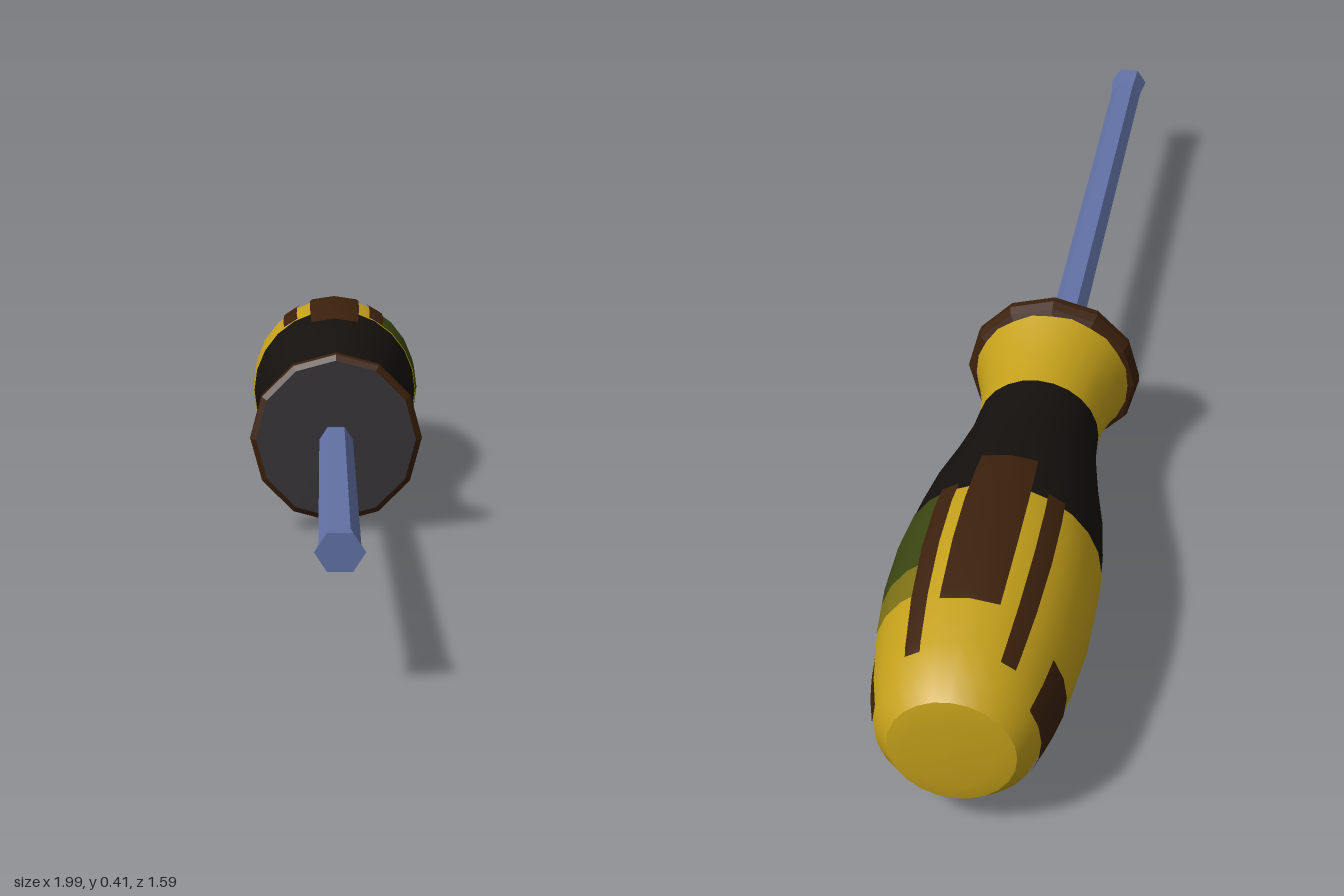
import * as THREE from 'three';

const YELLOW = 0xc4a01a, BLACK = 0x15110e, BROWN = 0x3c210c, GREEN = 0x3c4612, OLIVE = 0x7d7216;
const GREY = 0x39353a, STEEL = 0x6272a6;

// Grip profile: [position along the axis, radius]
const PROFILE = [
  [-1.165, 0.118], [-1.13, 0.148], [-1.06, 0.167], [-0.95, 0.187], [-0.82, 0.199], [-0.7, 0.199],
  [-0.6, 0.19], [-0.5, 0.175], [-0.4, 0.152], [-0.3, 0.133], [-0.22, 0.127], [-0.15, 0.133],
  [-0.08, 0.15], [-0.035, 0.166],
];

function radiusAt(s) {
  const i = Math.max(1, PROFILE.findIndex((p) => p[0] >= s));
  const [s0, r0] = PROFILE[i - 1], [s1, r1] = PROFILE[i];
  return r0 + ((r1 - r0) * (s - s0)) / (s1 - s0);
}

function addMesh(parent, name, geometry, color, flatShading = false) {
  const mesh = new THREE.Mesh(geometry, new THREE.MeshStandardMaterial({ color, flatShading }));
  mesh.name = name;
  parent.add(mesh);
  return mesh;
}

// A piece of the grip surface from a to b, around the angle range in degrees
function addBand(parent, name, color, a, b, from = 0, to = 360, lift = 0) {
  const stops = [a, ...PROFILE.map((p) => p[0]).filter((s) => s > a + 0.001 && s < b - 0.001), b];
  const points = stops.map((s) => new THREE.Vector2(radiusAt(s) + lift, s));
  const rad = THREE.MathUtils.degToRad;
  const segments = Math.max(1, Math.round((to - from) / 15));
  return addMesh(parent, name, new THREE.LatheGeometry(points, segments, rad(from), rad(to - from)), color);
}

export function createModel() {
  const model = new THREE.Group();
  model.name = 'screwdriver';

  // Everything is built along local +y, then laid down diagonally
  const tool = new THREE.Group();
  tool.name = 'tool';
  tool.rotation.set(0, -THREE.MathUtils.degToRad(37.6), -Math.PI / 2, 'YXZ');
  tool.position.set(0.01, 0.205, 0);
  model.add(tool);

  // Grip
  const handle = new THREE.Group();
  handle.name = 'handle';
  tool.add(handle);
  addBand(handle, 'gripEnd', YELLOW, -1.165, -0.65);
  addBand(handle, 'gripMiddle', BLACK, -0.65, -0.22);
  addBand(handle, 'collar', YELLOW, -0.22, -0.035);

  // Slightly domed butt
  const butt = [[0, -1.174], [0.08, -1.173], [0.118, -1.165]].map((p) => new THREE.Vector2(...p));
  addMesh(handle, 'butt', new THREE.LatheGeometry(butt, 24), YELLOW);

  // Green shading on the back and underside
  addBand(handle, 'greenPanel', GREEN, -0.86, -0.65, 60, 240, 0.002);
  addBand(handle, 'olivePanel', OLIVE, -0.94, -0.86, 60, 240, 0.002);

  // Inset marks by the butt, front and back
  addBand(handle, 'frontMark', BROWN, -1.12, -1.0, -30, 30, 0.003);
  addBand(handle, 'backMark', BROWN, -1.12, -1.01, 162, 198, 0.003);

  // Raised strips along the top
  addBand(handle, 'topStrip', BROWN, -0.97, -0.55, 253, 287, 0.006);
  addBand(handle, 'topStripFront', BROWN, -1.08, -0.64, 297, 308, 0.004);
  addBand(handle, 'topStripBack', BROWN, -1.08, -0.64, 234, 245, 0.004);

  // Guard disc with bevelled rim
  const rim = [[0.16, -0.042], [0.178, -0.034], [0.186, -0.015], [0.184, 0.003], [0.172, 0.012]];
  addMesh(tool, 'guardRim', new THREE.LatheGeometry(rim.map((p) => new THREE.Vector2(...p)), 12), BROWN, true);
  const face = new THREE.CircleGeometry(0.172, 12).rotateX(-Math.PI / 2);
  addMesh(tool, 'guardFace', face, GREY).position.y = 0.012;

  // Hexagonal shaft, tilted slightly upwards, with a flared tip
  const shaft = new THREE.Group();
  shaft.name = 'shaft';
  shaft.rotation.z = 0.03;
  tool.add(shaft);
  const hex = (top, bottom, length, start) =>
    new THREE.CylinderGeometry(top, bottom, length, 6).translate(0, start + length / 2, 0).scale(0.88, 1, 1);
  addMesh(shaft, 'blade', hex(0.036, 0.036, 1.18, -0.02), STEEL, true);
  addMesh(shaft, 'tip', hex(0.043, 0.036, 0.062, 1.16), STEEL, true);

  return model;
}
